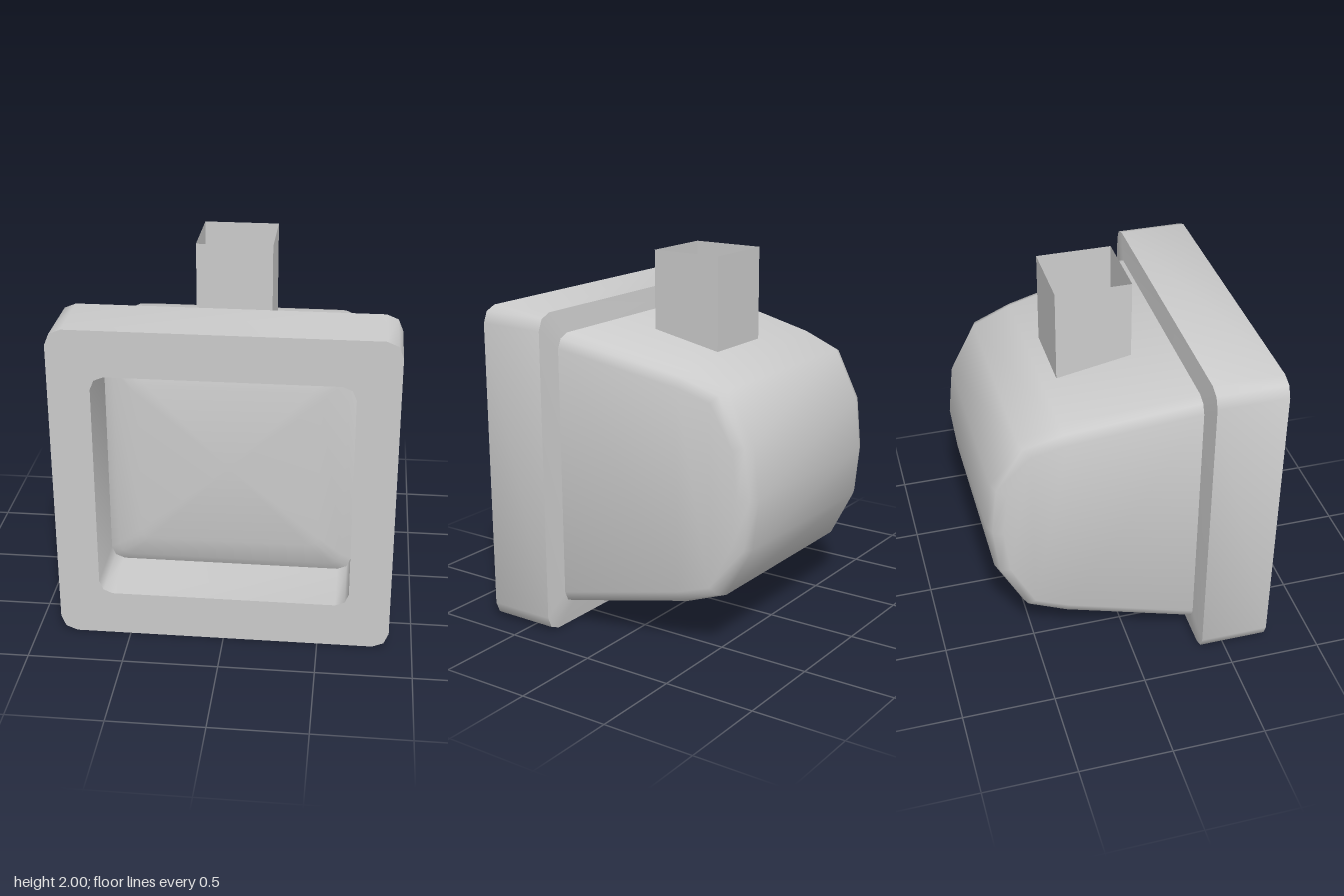
import * as THREE from 'three';
import { toCreasedNormals } from 'three/addons/utils/BufferGeometryUtils.js';

const material = new THREE.MeshStandardMaterial({ color: 0xcccccc, side: THREE.DoubleSide });
const CENTRE_Y = 0.868;

function meshFrom(name, points, index, crease = 0.9) {
  const geometry = new THREE.BufferGeometry().setFromPoints(points);
  geometry.setIndex(index);
  const mesh = new THREE.Mesh(toCreasedNormals(geometry, crease), material);
  mesh.name = name;
  return mesh;
}

// Adds a quad, leaving out any triangle that has collapsed to a line
function quad(index, a, b, c, d) {
  if (a !== b && b !== c && a !== c) index.push(a, b, c);
  if (a !== c && c !== d && a !== d) index.push(a, c, d);
}

// Counter-clockwise rectangle with corners cut in two segments
function roundedRect(w, h, r, z, cy = CENTRE_Y) {
  const points = [];
  [[1, 1], [-1, 1], [-1, -1], [1, -1]].forEach(([sx, sy], corner) => {
    for (let s = 0; s <= 2; s++) {
      const a = (corner + s / 2) * Math.PI / 2;
      points.push(new THREE.Vector3(
        sx * (w - r) + Math.cos(a) * r, cy + sy * (h - r) + Math.sin(a) * r, z));
    }
  });
  return points;
}

// Skin over a row of equal loops, optionally closed at the last one
function loft(name, loops, capZ) {
  const n = loops[0].length;
  const points = loops.flat();
  const index = [];
  for (let l = 0; l < loops.length - 1; l++) {
    for (let i = 0; i < n; i++) {
      const j = (i + 1) % n;
      quad(index, l * n + i, l * n + j, (l + 1) * n + j, (l + 1) * n + i);
    }
  }
  if (capZ !== undefined) {
    const base = (loops.length - 1) * n;
    points.push(new THREE.Vector3(0, CENTRE_Y, capZ));
    for (let i = 0; i < n; i++) index.push(base + i, base + (i + 1) % n, points.length - 1);
  }
  return meshFrom(name, points, index);
}

// Rear housing: side profile swept across x, tapering to the back, with bevelled flanks
function rearHousing() {
  const profile = [ // z, y from top front round the back to bottom front
    [0.345, 1.615], [-0.345, 1.485], [-0.56, 1.41], [-0.705, 1.15], [-0.735, 0.87],
    [-0.705, 0.6], [-0.56, 0.33], [-0.345, 0.255], [0.345, 0.125]];
  const last = profile.length - 1;
  const r = 0.075;
  const stations = [[-1, 0, 1], [-1, 0.3, 0.3], [-1, 1, 0], [1, 1, 0], [1, 0.3, 0.3], [1, 0, 1]];
  const points = [], index = [];
  profile.forEach(([z, y], k) => {
    const a = profile[Math.max(k - 1, 0)], b = profile[Math.min(k + 1, last)];
    const dz = b[0] - a[0], dy = b[1] - a[1], len = Math.hypot(dz, dy);
    const end = k === 0 || k === last;
    for (const [side, inX, inProfile] of stations) {
      const pz = end ? z : z - dy / len * r * inProfile;
      const py = y + dz / len * r * inProfile;
      const halfWidth = 0.755 - 0.139 * (0.345 - pz);
      points.push(new THREE.Vector3(side * (halfWidth - r * inX), py, pz));
    }
  });
  const at = (k, j) => k * 6 + j;
  for (let k = 0; k < last; k++) {
    for (let j = 0; j < 5; j++) quad(index, at(k, j), at(k, j + 1), at(k + 1, j + 1), at(k + 1, j));
  }
  // Flat flanks join the upper half of the profile to the lower
  for (let k = 0; k < last / 2; k++) {
    quad(index, at(k, 5), at(last - k, 5), at(last - k - 1, 5), at(k + 1, 5));
    quad(index, at(k, 0), at(k + 1, 0), at(last - k - 1, 0), at(last - k, 0));
  }
  return meshFrom('rearHousing', points, index);
}

export function createModel() {
  const model = new THREE.Group();
  model.name = 'monitorHead';

  // Deep front frame with its sloped rear lip and recessed opening
  model.add(loft('frontFrame', [
    roundedRect(0.74, 0.73, 0.07, 0.343),
    roundedRect(0.877, 0.868, 0.085, 0.365),
    roundedRect(0.877, 0.868, 0.085, 0.738),
    roundedRect(0.66, 0.624, 0.07, 0.738),
    roundedRect(0.66, 0.624, 0.07, 0.37),
  ]));

  // Gently bulging screen at the bottom of the recess
  model.add(loft('screen', [
    roundedRect(0.66, 0.624, 0.07, 0.37),
    roundedRect(0.61, 0.575, 0.06, 0.4),
    roundedRect(0.48, 0.45, 0.05, 0.43),
  ], 0.44));

  model.add(rearHousing());

  // Open square neck on top
  const neckGeometry = new THREE.CylinderGeometry(0.2 * Math.SQRT2, 0.2 * Math.SQRT2, 0.55, 4, 1, true);
  neckGeometry.rotateY(Math.PI / 4);
  const neckMaterial = material.clone();
  neckMaterial.flatShading = true;
  const neck = new THREE.Mesh(neckGeometry, neckMaterial);
  neck.name = 'topNeck';
  neck.position.set(0, 1.725, -0.068);
  model.add(neck);

  return model;
}
